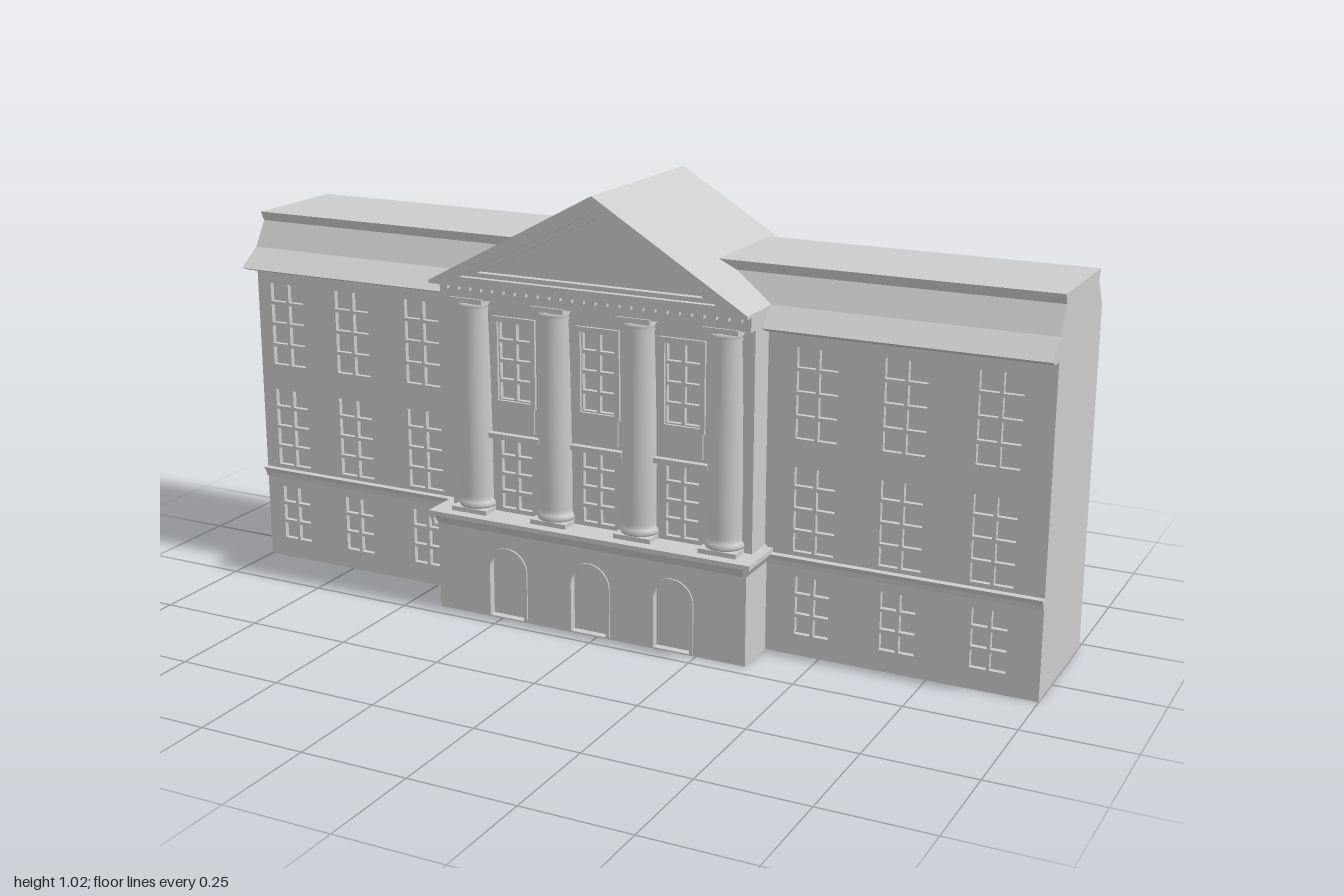
import * as THREE from 'three';

const material = new THREE.MeshStandardMaterial({ color: 0xcccccc, side: THREE.DoubleSide });

function addMesh(parent, name, geometry) {
  const mesh = new THREE.Mesh(geometry, material);
  mesh.name = name;
  parent.add(mesh);
  return mesh;
}

function box(parent, name, x0, x1, y0, y1, z0, z1) {
  const g = new THREE.BoxGeometry(x1 - x0, y1 - y0, z1 - z0);
  g.translate((x0 + x1) / 2, (y0 + y1) / 2, (z0 + z1) / 2);
  return addMesh(parent, name, g);
}

const polygon = pts => new THREE.Shape(pts.map(([x, y]) => new THREE.Vector2(x, y)));
const rect = (x0, x1, y0, y1) => polygon([[x0, y0], [x1, y0], [x1, y1], [x0, y1]]);

// Outline facing the front, pushed from z0 to z1
function alongZ(parent, name, shape, z0, z1) {
  const g = new THREE.ExtrudeGeometry(shape, { depth: z1 - z0, bevelEnabled: false, curveSegments: 10 });
  return addMesh(parent, name, g.translate(0, 0, z0));
}

// Side profile of [z, y] points, pushed from x0 to x1
function alongX(parent, name, profile, x0, x1) {
  const shape = polygon(profile.map(([z, y]) => [-z, y]));
  const g = new THREE.ExtrudeGeometry(shape, { depth: x1 - x0, bevelEnabled: false });
  return addMesh(parent, name, g.rotateY(Math.PI / 2).translate(x0, 0, 0));
}

// Cuts the panes of a sash window out of a wall outline
function cutWindow(shape, x, y0, y1, width, cols, rows) {
  const bar = 0.008;
  const w = (width - bar * (cols - 1)) / cols;
  const h = (y1 - y0 - bar * (rows - 1)) / rows;
  for (let c = 0; c < cols; c++) {
    for (let r = 0; r < rows; r++) {
      const px = x - width / 2 + c * (w + bar), py = y0 + r * (h + bar);
      shape.holes.push(rect(px, px + w, py, py + h));
    }
  }
}

function archOutline(x, y0, width, top, Type = THREE.Shape) {
  const r = width / 2, p = new Type();
  p.moveTo(x - r, y0);
  p.lineTo(x + r, y0);
  p.lineTo(x + r, top - r);
  p.absarc(x, top - r, r, 0, Math.PI, false);
  p.lineTo(x - r, y0);
  return p;
}

const L = -0.42, R = 0.37;                 // sides of the portico
const BAYS = [-0.235, -0.02, 0.19];        // door and window axes between columns
const COLUMNS = [-0.34, -0.13, 0.085, 0.295];

function buildWings(model) {
  // Main block with its undercut parapet
  alongX(model, 'mainBlock', [
    [-0.23, 0], [0.088, 0], [0.088, 0.745], [0.1, 0.745], [0.1, 0.797], [0.064, 0.857],
    [0.075, 0.88], [-0.202, 0.88], [-0.19, 0.857], [-0.23, 0.797],
  ], -1, 1);

  const wings = [
    { side: 'right', x0: -1, x1: L, eave: 0.16, axes: [-0.915, -0.725, -0.525] },
    { side: 'left', x0: R, x1: 1, eave: 0.15, axes: [0.48, 0.68, 0.885] },
  ];
  for (const { side, x0, x1, eave, axes } of wings) {
    const wing = new THREE.Group();
    wing.name = side + 'Wing';
    model.add(wing);
    // Front wall with three storeys of windows
    const wall = rect(x0, x1, 0, 0.75);
    for (const x of axes) {
      cutWindow(wall, x, 0.05, 0.187, 0.08, 2, 3);
      cutWindow(wall, x, 0.245, 0.44, 0.095, 2, 4);
      cutWindow(wall, x, 0.505, 0.71, 0.095, 2, 4);
    }
    alongZ(wing, 'windowWall', wall, 0.088, 0.1);
    alongX(wing, 'eave', [[0.09, 0.745], [0.13, 0.745], [eave, 0.755], [0.1, 0.797], [0.09, 0.797]], x0, x1);
    alongX(wing, 'stringCourse', [[0.09, 0.21], [0.105, 0.21], [0.108, 0.222], [0.117, 0.235], [0.09, 0.235]], x0, x1);
  }
}

function buildBase(portico) {
  // Ground storey with three arched doorways
  box(portico, 'baseCore', L, R, 0, 0.21, 0.08, 0.198);
  const front = rect(L, R, 0, 0.21);
  for (const x of BAYS) {
    front.holes.push(archOutline(x, 0.005, 0.09, 0.167, THREE.Path));
    const frame = archOutline(x, 0.005, 0.107, 0.176);
    frame.holes.push(archOutline(x, 0.0051, 0.09, 0.167, THREE.Path));
    alongZ(portico, 'doorSurround', frame, 0.21, 0.216);
  }
  alongZ(portico, 'baseFront', front, 0.198, 0.212);

  // Flared cornice under the columns
  alongX(portico, 'baseCornice', [[0.08, 0.21], [0.212, 0.21], [0.232, 0.234], [0.232, 0.245], [0.08, 0.245]], L, R);
  for (const [x, s] of [[L, -1], [R, 1]]) {
    const end = polygon([[x, 0.21], [x + s * 0.015, 0.234], [x + s * 0.015, 0.245], [x, 0.245]]);
    alongZ(portico, 'baseCorniceEnd', end, 0.09, 0.232);
  }
}

function buildColumns(portico) {
  const profile = [
    [0, 0.255], [0.044, 0.255], [0.047, 0.262], [0.044, 0.27], [0.04, 0.274], [0.041, 0.282],
    [0.041, 0.42], [0.039, 0.58], [0.035, 0.725], [0.038, 0.73], [0.035, 0.735], [0.041, 0.746], [0, 0.746],
  ].map(([r, y]) => new THREE.Vector2(r, y));
  const shaft = new THREE.LatheGeometry(profile, 24);
  for (const x of COLUMNS) {
    const column = new THREE.Group();
    column.name = 'column';
    column.position.set(x, 0, 0.16);
    addMesh(column, 'shaft', shaft);
    box(column, 'plinth', -0.046, 0.046, 0.245, 0.256, -0.04, 0.046);
    box(column, 'abacus', -0.042, 0.042, 0.745, 0.757, -0.04, 0.04);
    portico.add(column);
  }
}

function buildPorticoWall(portico) {
  box(portico, 'porticoCore', L + 0.01, R - 0.01, 0.24, 0.76, 0.08, 0.148);
  const wall = rect(L + 0.01, R - 0.01, 0.245, 0.757);
  for (const x of BAYS) {
    cutWindow(wall, x, 0.255, 0.42, 0.08, 2, 4);
    cutWindow(wall, x, 0.52, 0.7, 0.08, 2, 4);
  }
  alongZ(portico, 'porticoWall', wall, 0.148, 0.16);
  for (const x of BAYS) {
    // Ledge, panel and raised frame of each bay
    box(portico, 'ledge', x - 0.066, x + 0.066, 0.426, 0.438, 0.155, 0.175);
    box(portico, 'apronPanel', x - 0.05, x + 0.05, 0.445, 0.505, 0.155, 0.165);
    const frame = rect(x - 0.055, x + 0.055, 0.505, 0.715);
    frame.holes.push(rect(x - 0.043, x + 0.043, 0.517, 0.703));
    alongZ(portico, 'windowFrame', frame, 0.158, 0.167);
  }
}

function buildPediment(portico) {
  box(portico, 'entablature', L + 0.01, R - 0.005, 0.755, 0.79, 0.09, 0.195);
  const count = 26, step = (R - L - 0.03) / count;
  for (let i = 0; i < count; i++) {
    const x = L + 0.02 + i * step;
    box(portico, 'dentil', x, x + step * 0.55, 0.776, 0.79, 0.19, 0.206);
  }
  // Gable roof running through to the back wall
  const gable = () => polygon([[L, 0.79], [R, 0.79], [R, 0.797], [0, 1.022], [L, 0.797]]);
  alongZ(portico, 'gableRoof', gable(), -0.23, 0.195);
  // Raked cornice around the recessed tympanum
  const rim = gable();
  rim.holes.push(polygon([[-0.338, 0.812], [0.298, 0.812], [0, 0.984]]));
  alongZ(portico, 'pedimentCornice', rim, 0.195, 0.226);
  const inner = polygon([[-0.345, 0.809], [0.305, 0.809], [0, 0.988]]);
  inner.holes.push(polygon([[-0.3, 0.822], [0.262, 0.822], [0, 0.968]]));
  alongZ(portico, 'tympanumMoulding', inner, 0.195, 0.212);
}

export function createModel() {
  const model = new THREE.Group();
  model.name = 'classicalBuilding';
  buildWings(model);
  const portico = new THREE.Group();
  portico.name = 'portico';
  model.add(portico);
  buildBase(portico);
  buildPorticoWall(portico);
  buildColumns(portico);
  buildPediment(portico);
  return model;
}
